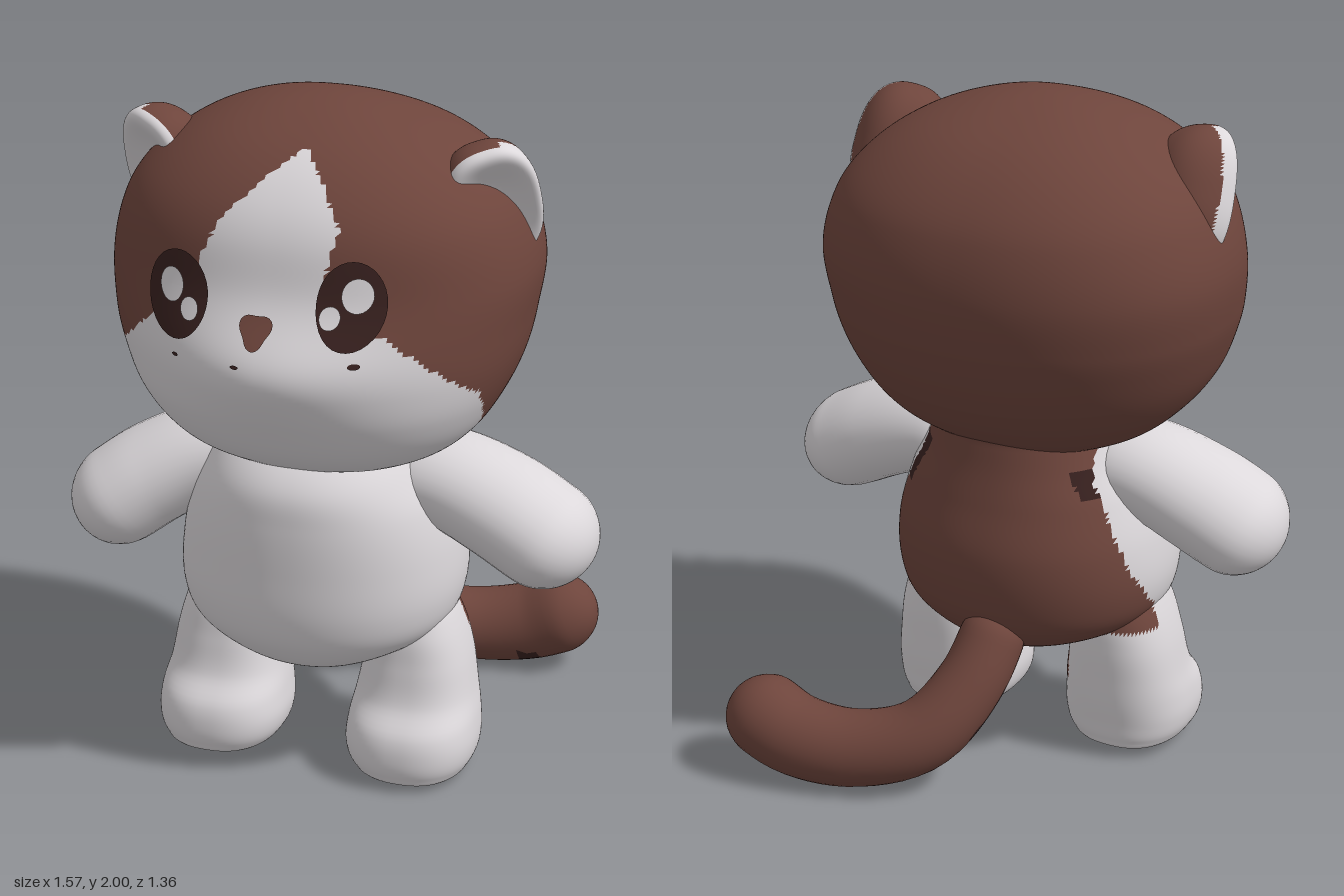
import * as THREE from 'three';

const white = new THREE.MeshStandardMaterial({ color: 0xdcd8db });
const brown = new THREE.MeshStandardMaterial({ color: 0x6e453c });
const dark = new THREE.MeshStandardMaterial({ color: 0x38211f });
white.name = 'white fur';
brown.name = 'brown fur';
dark.name = 'dark eye';
const furs = [white, brown, dark];
const WHITE = 0, BROWN = 1, DARK = 2;

// Smooth curve through rows [key, v1, v2, ...]; returns the values at t
function smooth(rows, t) {
  const last = rows.length - 1;
  let i = 0;
  while (i < last - 1 && t > rows[i + 1][0]) i++;
  const a = rows[i], b = rows[i + 1], h = b[0] - a[0];
  const s = THREE.MathUtils.clamp((t - a[0]) / h, 0, 1);
  const slope = (k, c) => {
    const p = rows[Math.max(k - 1, 0)], q = rows[Math.min(k + 1, last)];
    return (q[c] - p[c]) / (q[0] - p[0]);
  };
  return a.slice(1).map((_, j) => {
    const c = j + 1;
    return (2 * s ** 3 - 3 * s * s + 1) * a[c] + (s ** 3 - 2 * s * s + s) * h * slope(i, c)
      + (3 * s * s - 2 * s ** 3) * b[c] + (s ** 3 - s * s) * h * slope(i + 1, c);
  });
}

// Straight-line version for colour borders
function linear(rows, t) {
  let i = 0;
  while (i < rows.length - 2 && t > rows[i + 1][0]) i++;
  const [a, b] = [rows[i], rows[i + 1]];
  const s = THREE.MathUtils.clamp((t - a[0]) / (b[0] - a[0]), 0, 1);
  return a.slice(1).map((v, j) => v + (b[j + 1] - v) * s);
}

// Closed surface from rings: point(u, angle) with u from 0 to 1
function grid(nu, nv, point) {
  const pos = [], index = [];
  for (let i = 0; i <= nu; i++) {
    for (let j = 0; j < nv; j++) {
      pos.push(...point(i / nu, (j / nv) * Math.PI * 2));
      if (i === nu) continue;
      const a = i * nv + j, b = i * nv + (j + 1) % nv;
      index.push(a, a + nv, b, b, a + nv, b + nv);
    }
  }
  const geo = new THREE.BufferGeometry();
  geo.setAttribute('position', new THREE.Float32BufferAttribute(pos, 3));
  geo.setIndex(index);
  geo.computeVertexNormals();
  return geo;
}

// Rounded body from level sections [y, xMin, xMax, zBack, zFront]
function sections(rows) {
  const y0 = rows[0][0], half = (rows[rows.length - 1][0] - y0) / 2;
  const phi = (y) => Math.asin(THREE.MathUtils.clamp((y - y0 - half) / half, -1, 1));
  const keyed = rows.map(([y, ...v]) => [phi(y), ...v]);
  return { y: (p) => y0 + half + half * Math.sin(p), at: (p) => smooth(keyed, p), phi };
}
const power = (v, e) => Math.sign(v) * Math.abs(v) ** e;
function loft(rows, nu, nv, squareness, warp = (p) => p) {
  const s = sections(rows), e = 2 / squareness;
  return grid(nu, nv, (u, a) => {
    const p = (u - 0.5) * Math.PI, [xl, xr, zb, zf] = s.at(p);
    return warp([(xl + xr) / 2 + (xr - xl) / 2 * power(Math.cos(a), e), s.y(p),
      (zb + zf) / 2 + (zf - zb) / 2 * power(Math.sin(a), e)]);
  });
}

// Round-ended limb along a path of [x, y, z, radius]
function limb(path, depth = 1) {
  const curve = new THREE.CatmullRomCurve3(path.map((p) => new THREE.Vector3(p[0], p[1], p[2])));
  const radii = path.map((p, i) => [i / (path.length - 1), p[3]]);
  const length = curve.getLength(), z = new THREE.Vector3(0, 0, 1);
  return grid(48, 32, (u, a) => {
    const t = (1 - Math.cos(u * Math.PI)) / 2;
    const k = curve.getUtoTmapping(t);
    let r = smooth(radii, k)[0];
    const d = Math.min(1, Math.min(t, 1 - t) * length / r);
    r *= Math.sqrt(Math.max(0, 1 - (1 - d) ** 2));
    const tan = curve.getTangent(k), n = z.clone().cross(tan).normalize(), b = n.clone().cross(tan);
    return curve.getPoint(k).addScaledVector(n, r * Math.cos(a))
      .addScaledVector(b, r * depth * Math.sin(a)).toArray();
  });
}

// Splits faces into fur colours by the position of their centre
function paint(geo, colourAt) {
  const p = geo.attributes.position, idx = geo.index.array, sets = furs.map(() => []);
  for (let i = 0; i < idx.length; i += 3) {
    const f = [idx[i], idx[i + 1], idx[i + 2]];
    const mid = (g) => (g(f[0]) + g(f[1]) + g(f[2])) / 3;
    sets[colourAt(mid((k) => p.getX(k)), mid((k) => p.getY(k)), mid((k) => p.getZ(k)))].push(...f);
  }
  geo.setIndex(sets.flat());
  let start = 0;
  sets.forEach((set, m) => {
    if (set.length) geo.addGroup(start, set.length, m);
    start += set.length;
  });
  return geo;
}

const headSquareness = 2.3;
const headRows = [
  [0.98, -0.04, -0.04, 0.13, 0.13], [0.997, -0.29, 0.24, -0.14, 0.38], [1.03, -0.39, 0.34, -0.21, 0.46],
  [1.1, -0.48, 0.43, -0.29, 0.54], [1.2, -0.555, 0.495, -0.36, 0.59], [1.3, -0.6, 0.535, -0.405, 0.6],
  [1.4, -0.63, 0.555, -0.435, 0.595], [1.55, -0.645, 0.57, -0.45, 0.565], [1.7, -0.61, 0.53, -0.42, 0.54],
  [1.8, -0.55, 0.46, -0.36, 0.49], [1.9, -0.43, 0.33, -0.25, 0.39], [1.97, -0.27, 0.15, -0.1, 0.25],
  [2, -0.06, -0.06, 0.08, 0.08]];
const muzzle = (x, y) => 0.075 * Math.exp(-((x + 0.03) ** 2) / 0.085 - ((y - 1.36) ** 2) / 0.02);
const headSections = sections(headRows);
function faceZ(x, y) {
  const [xl, xr, zb, zf] = headSections.at(headSections.phi(y));
  const s = Math.min(1, Math.abs((2 * x - xl - xr) / (xr - xl)));
  return (zb + zf) / 2 + (zf - zb) / 2 * (1 - s ** headSquareness) ** (1 / headSquareness) + muzzle(x, y);
}

// Colour borders: cheeks [y, z] and [y, xMin, xMax], forehead blaze [y, xMin, xMax], back patch [y, z]
const cheekDepth = [[1, -0.02], [1.04, 0.05], [1.12, 0.2], [1.2, 0.28], [1.3, 0.37], [1.4, 0.45], [1.48, 0.5]];
const cheekWidth = [[1.25, -0.6, 0.5], [1.33, -0.54, 0.43], [1.4, -0.465, 0.36], [1.48, -0.38, 0.26]];
const blaze = [[1.44, -0.26, 0.16], [1.55, -0.25, 0.1], [1.65, -0.25, 0.11], [1.75, -0.2, 0.135],
  [1.85, -0.1, 0.07], [1.92, -0.01, 0]];
const back = [[0.32, -0.08], [0.4, -0.06], [0.44, 0.07], [0.5, 0.06], [0.55, 0], [0.65, -0.07],
  [0.75, -0.1], [0.92, -0.1], [1, -0.06], [1.05, 0.05]];
const between = (v, [lo, hi]) => v > lo && v < hi;
function faceColour(x, y, z) {
  const cheek = y < 1.48 && z > linear(cheekDepth, y)[0] - (x < 0 ? 0.07 : 0)
    && between(x, linear(cheekWidth, y));
  const stripe = z > 0.2 && y > 1.4 && y < 1.92 && between(x, linear(blaze, y));
  return cheek || stripe ? WHITE : BROWN;
}
function bodyColour(x, y, z) {
  if (z > linear(back, y)[0]) return WHITE;
  return between(y, x > 0 ? [0.82, 0.97] : [0.88, 0.96]) && z > -0.145 ? DARK : BROWN;
}

export function createModel() {
  const model = new THREE.Group();
  model.name = 'plushCat';
  const add = (name, geo, mat) => {
    const mesh = new THREE.Mesh(geo, mat);
    mesh.name = name;
    model.add(mesh);
    return mesh;
  };

  // Head with muzzle bulge
  add('head', paint(loft(headRows, 120, 210, headSquareness, ([x, y, z]) =>
    [x, y, z > 0.2 ? z + muzzle(x, y) * Math.min(1, (z - 0.2) * 5) : z]), faceColour), furs);

  // Thin face details that follow the head surface
  const decal = (name, mat, cx, cy, rx, ry, lift, lobes = 0) => {
    const geo = new THREE.RingGeometry(0.001, 1, 32, 6), p = geo.attributes.position;
    for (let i = 0; i < p.count; i++) {
      const k = 1 + lobes * Math.cos(3 * (Math.atan2(p.getY(i), p.getX(i)) + Math.PI / 2));
      const x = cx + rx * k * p.getX(i), y = cy + ry * k * p.getY(i);
      p.setXYZ(i, x, y, faceZ(x, y) + lift);
    }
    geo.computeVertexNormals();
    add(name, geo, mat);
  };
  decal('rightEye', dark, -0.312, 1.54, 0.097, 0.116, 0.008);
  decal('rightEyeShine', white, -0.33, 1.562, 0.038, 0.046, 0.014);
  decal('rightEyeGlint', white, -0.268, 1.51, 0.028, 0.03, 0.014);
  decal('leftEye', dark, 0.183, 1.56, 0.092, 0.116, 0.008);
  decal('leftEyeShine', white, 0.2, 1.588, 0.042, 0.046, 0.014);
  decal('leftEyeGlint', white, 0.132, 1.53, 0.028, 0.03, 0.014);
  decal('nose', brown, -0.065, 1.485, 0.044, 0.042, 0.008, 0.16);
  decal('mouthMark', dark, -0.11, 1.392, 0.012, 0.005, 0.004);
  decal('leftCheekMark', dark, 0.205, 1.408, 0.016, 0.008, 0.004);
  decal('rightCheekMark', dark, -0.305, 1.382, 0.01, 0.005, 0.004);

  // Shallow cupped ears, turned outward and leaning forward, with a broad white outer rim
  for (const side of [-1, 1]) {
    const geo = grid(56, 72, (u, a) => {
      const p = (u - 0.5) * Math.PI, c = Math.cos(p);
      const x = power(c, 0.8) * power(Math.cos(a), 0.8), y = power(Math.sin(p), 0.8);
      let z = c * Math.sin(a);
      if (z > 0) z = 0.5 * z - 0.55 * z ** 3;
      return [x * 0.135, y * 0.195, z * 0.15];
    });
    paint(geo, (x, y, z) => {
      const front = z > -0.03 && (z > 0 || Math.hypot(x / 0.135, y / 0.195) < 0.8 || x * side > 0.05);
      return front && 1.5 * x * side + y > -0.05 ? WHITE : BROWN;
    });
    const ear = add(side > 0 ? 'leftEar' : 'rightEar', geo, furs);
    ear.position.set(side > 0 ? 0.457 : -0.517, side > 0 ? 1.735 : 1.75, 0.14);
    ear.rotation.set(0.38, side * 0.55, side * 0.08);
  }

  // Torso with a brown back and dark patches behind the arms
  const bodyRows = [
    [0.31, -0.03, -0.03, 0.12, 0.12], [0.36, -0.25, 0.18, -0.14, 0.36], [0.45, -0.41, 0.33, -0.25, 0.455],
    [0.55, -0.455, 0.375, -0.29, 0.49], [0.7, -0.45, 0.375, -0.3, 0.5], [0.85, -0.41, 0.34, -0.265, 0.5],
    [0.95, -0.36, 0.29, -0.24, 0.485], [1.03, -0.32, 0.25, -0.225, 0.42], [1.1, -0.28, 0.21, -0.21, 0.3],
    [1.16, -0.04, -0.04, 0.05, 0.05]];
  add('body', paint(loft(bodyRows, 90, 140, 2.15), bodyColour), furs);

  // Legs with forward feet, brown at the top of the thigh
  const legRows = [
    [0, 0.25, 0.25, 0.17, 0.17], [0.012, 0.12, 0.4, 0, 0.345], [0.04, 0.08, 0.435, -0.025, 0.375],
    [0.1, 0.062, 0.45, -0.035, 0.385], [0.17, 0.068, 0.445, -0.045, 0.37], [0.24, 0.08, 0.43, -0.05, 0.315],
    [0.35, 0.1, 0.41, -0.055, 0.29], [0.45, 0.12, 0.38, -0.045, 0.275], [0.53, 0.17, 0.34, 0.01, 0.235],
    [0.58, 0.25, 0.25, 0.12, 0.12]];
  const thigh = (y, z) => y > 0.415 && z < 0.06;
  add('leftLeg', paint(loft(legRows, 60, 72, 2.4), (x, y, z) => thigh(y, z) ? BROWN : WHITE), furs);
  const mirrored = legRows.map(([y, a, b, c, d]) => [y, -b - 0.072, -a - 0.072, c, d]);
  add('rightLeg', paint(loft(mirrored, 60, 72, 2.4), (x, y, z) =>
    thigh(y, z) || (x > -0.19 && z < 0.08 && y > 0.2) ? BROWN : WHITE), furs).position.y = 0.012;

  // Arms held out and down
  add('leftArm', limb([[0.14, 0.91, 0.1, 0.12], [0.32, 0.905, 0.11, 0.138], [0.5, 0.845, 0.13, 0.15],
    [0.64, 0.775, 0.15, 0.15], [0.77, 0.72, 0.17, 0.14]], 1.25), white);
  add('rightArm', limb([[-0.18, 0.92, 0.1, 0.12], [-0.37, 0.905, 0.12, 0.138], [-0.54, 0.825, 0.16, 0.15],
    [-0.65, 0.75, 0.2, 0.15], [-0.765, 0.68, 0.23, 0.145]], 1.25), white);

  // Tail curling to the left behind the feet, dark under its base and behind the foot
  add('tail', paint(limb([[-0.07, 0.5, -0.18, 0.095], [-0.035, 0.31, -0.32, 0.1], [0.06, 0.17, -0.44, 0.108],
    [0.24, 0.115, -0.52, 0.115], [0.42, 0.13, -0.56, 0.122], [0.54, 0.18, -0.565, 0.125],
    [0.63, 0.215, -0.56, 0.12]]), (x, y, z) => {
    const base = x < 0.06 && y > 0.16 && y < 0.33 && z > -0.555 + 0.86 * y;
    const spot = x > 0.4 && x < 0.48 && y < 0.07 && z > -0.57;
    return base || spot ? DARK : BROWN;
  }), furs);

  return model;
}
